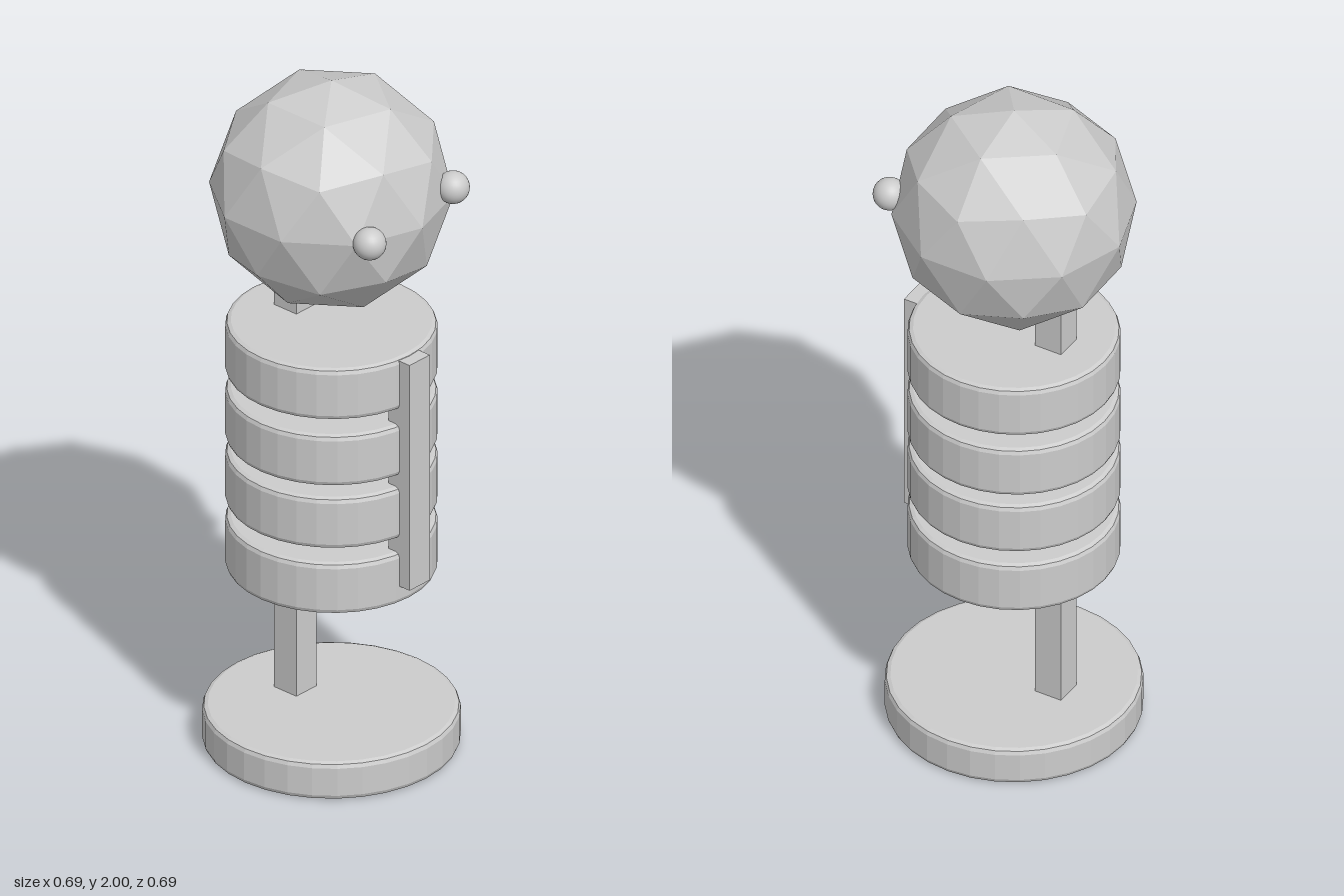
import * as THREE from 'three';

const material = new THREE.MeshStandardMaterial({ color: 0xcccccc, flatShading: true });
const smooth = new THREE.MeshStandardMaterial({ color: 0xcccccc });

// Round plate with a small bevel on both rims
function plateGeometry(radius, height, bevel) {
  const profile = [
    [0, 0], [radius - bevel, 0], [radius - bevel * 0.3, bevel * 0.3], [radius, bevel],
    [radius, height - bevel], [radius - bevel * 0.3, height - bevel * 0.3],
    [radius - bevel, height], [0, height],
  ].map(([x, y]) => new THREE.Vector2(x, y));
  return new THREE.LatheGeometry(profile, 32);
}

export function createModel() {
  const group = new THREE.Group();
  const add = (name, geometry, x, y, z, mat = material) => {
    const mesh = new THREE.Mesh(geometry, mat);
    mesh.name = name;
    mesh.position.set(x, y, z);
    group.add(mesh);
    return mesh;
  };

  // Round foot
  add('base', plateGeometry(0.345, 0.112, 0.015), 0, 0, 0);

  // Square spine at the back, running up into the head
  add('spine', new THREE.BoxGeometry(0.08, 1.36, 0.08), 0, 0.76, -0.13);

  // Stacked rib discs
  const rib = plateGeometry(0.286, 0.154, 0.015);
  [0.53, 0.728, 0.918, 1.119].forEach((y, i) => {
    add(`rib${i + 1}`, rib, 0, y, 0).scale.x = 0.98;
  });

  // Breast bar joining the ribs at the front
  add('breastBar', new THREE.BoxGeometry(0.08, 0.684, 0.076), 0, 0.925, 0.28);

  // Faceted head, turned so that a corner points straight up
  const head = new THREE.IcosahedronGeometry(0.328, 1);
  head.rotateZ(-Math.atan(2 / (1 + Math.sqrt(5))));
  add('head', head, 0, 1.672, 0);

  // Eyes, set at slightly different heights
  const eye = new THREE.SphereGeometry(0.045, 32, 16);
  add('leftEye', eye, 0.165, 1.715, 0.288, smooth);
  add('rightEye', eye, -0.165, 1.677, 0.288, smooth);

  return group;
}
